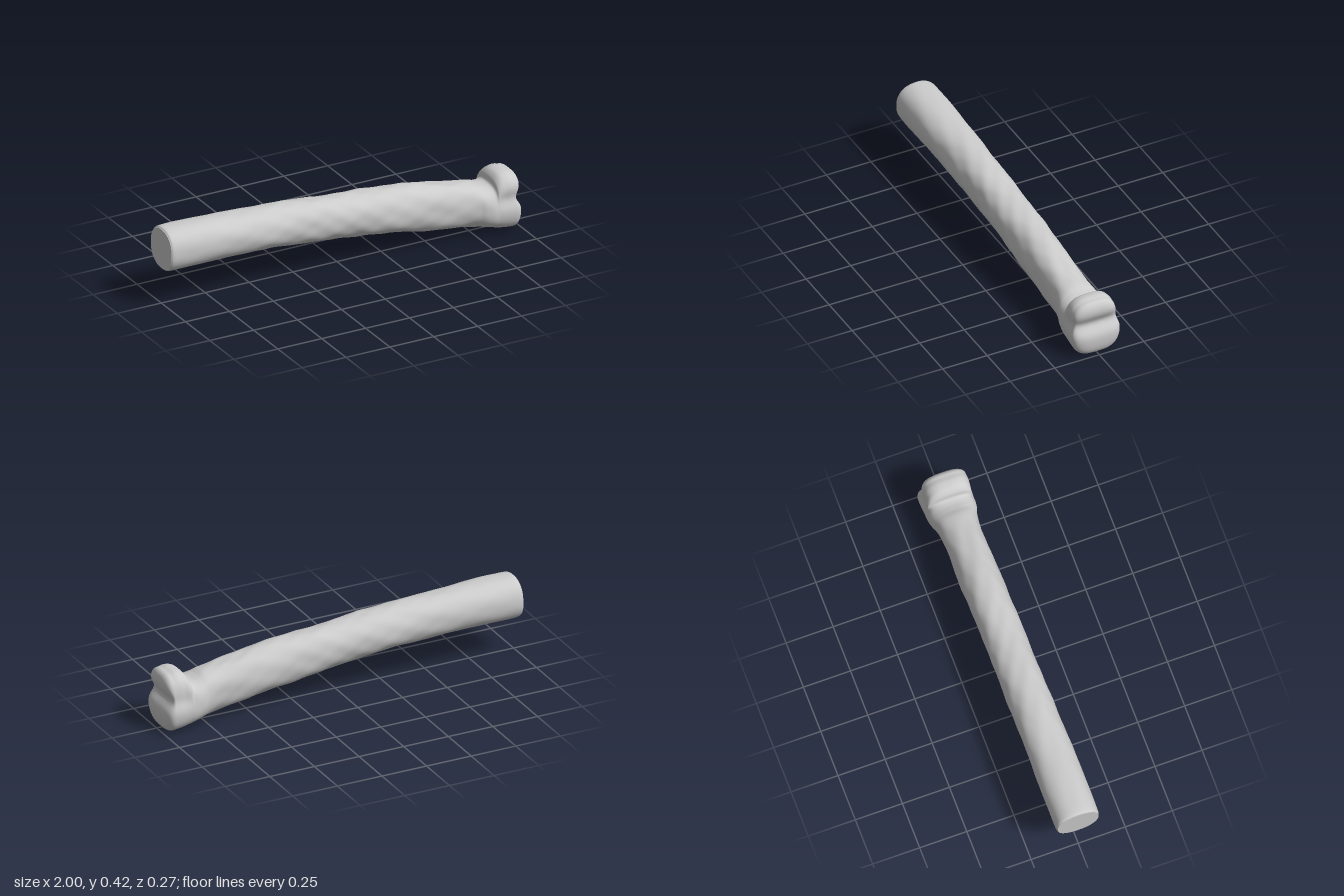
import * as THREE from 'three';

// Stations along the bone: x, bottom, top, half width, squareness
const STATIONS = [
  [-1, 0.193, 0.405, 0.108, 2.3], [-0.97, 0.187, 0.415, 0.114, 2.3], [-0.8, 0.187, 0.414, 0.115, 2.3],
  [-0.6, 0.184, 0.405, 0.112, 2.2], [-0.4, 0.177, 0.397, 0.109, 2.2], [-0.2, 0.162, 0.385, 0.107, 2.2],
  [0, 0.14, 0.366, 0.104, 2.2], [0.2, 0.116, 0.351, 0.104, 2.3], [0.4, 0.086, 0.333, 0.104, 2.3],
  [0.55, 0.062, 0.308, 0.1, 2.4], [0.68, 0.044, 0.284, 0.1, 2.4], [0.75, 0.034, 0.27, 0.108, 2.5],
  [0.79, 0.028, 0.254, 0.121, 2.5], [0.825, 0.021, 0.246, 0.128, 2.6], [0.85, 0.016, 0.252, 0.13, 2.7],
  [0.862, 0.012, 0.284, 0.131, 2.8], [0.885, 0.007, 0.307, 0.133, 2.9], [0.92, 0.003, 0.314, 0.135, 3],
  [0.95, 0, 0.308, 0.135, 3],
];
const SIDES = 72;
const STEPS = 10;

// Long shallow ridges and dents, strongest along the middle of the shaft
function roughness(x, a) {
  const fade = THREE.MathUtils.smoothstep(x, -0.95, -0.3) * (1 - THREE.MathUtils.smoothstep(x, 0.68, 0.82));
  const wave = Math.sin(9 * x + 3 * a) + Math.sin(17 * x - 4 * a + 1.3) * 0.8
    + Math.sin(31 * x + 7 * a + 2 * Math.sin(5 * x)) * 0.6 + Math.sin(47 * x - 9 * a + 0.7) * 0.45;
  return (0.003 + 0.011 * fade) * wave * (x < 0.8 ? 1 : 0.3);
}

// One cross-section, slightly squared and pinched between the two condyles
function section(x, bottom, top, half, power) {
  const ring = [];
  const mid = (bottom + top) / 2, height = (top - bottom) / 2;
  const pinch = 0.14 * THREE.MathUtils.smoothstep(x, 0.8, 0.91);
  const upper = 0.07 * THREE.MathUtils.smoothstep(x, 0.84, 0.9);
  for (let j = 0; j < SIDES; j++) {
    const a = (j / SIDES) * Math.PI * 2;
    const c = Math.cos(a), s = Math.sin(a);
    const r = (Math.abs(c) ** power + Math.abs(s) ** power) ** (-1 / power) * (1 + roughness(x, a));
    const y = mid + height * r * s;
    const waist = 1 - pinch * Math.exp(-(((y - 0.185) / 0.04) ** 2))
      - upper * THREE.MathUtils.smoothstep(y, 0.18, 0.25);
    const shift = upper * 0.09 * THREE.MathUtils.smoothstep(y, 0.18, 0.25);
    ring.push(new THREE.Vector3(x, y, half * r * c * waist + shift));
  }
  return ring;
}

// Skin a list of closed rings that advance along +x
function skin(rings) {
  const index = [];
  for (let i = 0; i < rings.length - 1; i++) {
    for (let j = 0; j < SIDES; j++) {
      const k = (j + 1) % SIDES;
      const a = i * SIDES + j, b = a + SIDES, c = i * SIDES + k, d = c + SIDES;
      index.push(a, b, c, b, d, c);
    }
  }
  const geometry = new THREE.BufferGeometry().setFromPoints(rings.flat());
  geometry.setIndex(index);
  geometry.computeVertexNormals();
  return geometry;
}

export function createModel() {
  const group = new THREE.Group();
  group.name = 'bone';
  const material = new THREE.MeshStandardMaterial({ color: 0xcccccc });
  const add = (name, geometry) => {
    const mesh = new THREE.Mesh(geometry, material);
    mesh.name = name;
    group.add(mesh);
  };

  // Shaft, neck and knuckle sides
  const spline = (pick) => new THREE.CatmullRomCurve3(STATIONS.map(pick), false, 'catmullrom', 0.5);
  const outline = spline((s) => new THREE.Vector3(s[0], s[1], s[2]));
  const width = spline((s) => new THREE.Vector3(s[0], s[3], s[4]));
  const rings = [];
  const count = (STATIONS.length - 1) * STEPS;
  for (let i = 0; i <= count; i++) {
    const p = outline.getPoint(i / count), q = width.getPoint(i / count);
    rings.push(section(p.x, p.y, p.z, q.y, q.z));
  }

  // Rounded end face with a cleft between the upper and lower knuckles
  const rim = rings[rings.length - 1];
  const center = new THREE.Vector3(0.95, 0.165, 0);
  const rows = 24;
  for (let i = 1; i <= rows; i++) {
    const scale = Math.cos((i / rows) * Math.PI / 2);
    const out = (1 - scale ** 4) ** 0.4;
    rings.push(rim.map((p) => {
      const v = center.clone().lerp(p, scale);
      const depth = 0.052 - 0.035 * Math.exp(-(((v.y - 0.182) / 0.042) ** 2))
        - 0.007 * THREE.MathUtils.smoothstep(v.y, 0.18, 0.25);
      v.x += depth * out;
      return v;
    }));
  }
  add('shaftAndKnuckles', skin(rings));

  // Flat cut end
  const cutCenter = new THREE.Vector3(-1, 0.299, 0);
  add('cutEnd', skin([rings[0].map(() => cutCenter.clone()), rings[0]]));
  return group;
}
